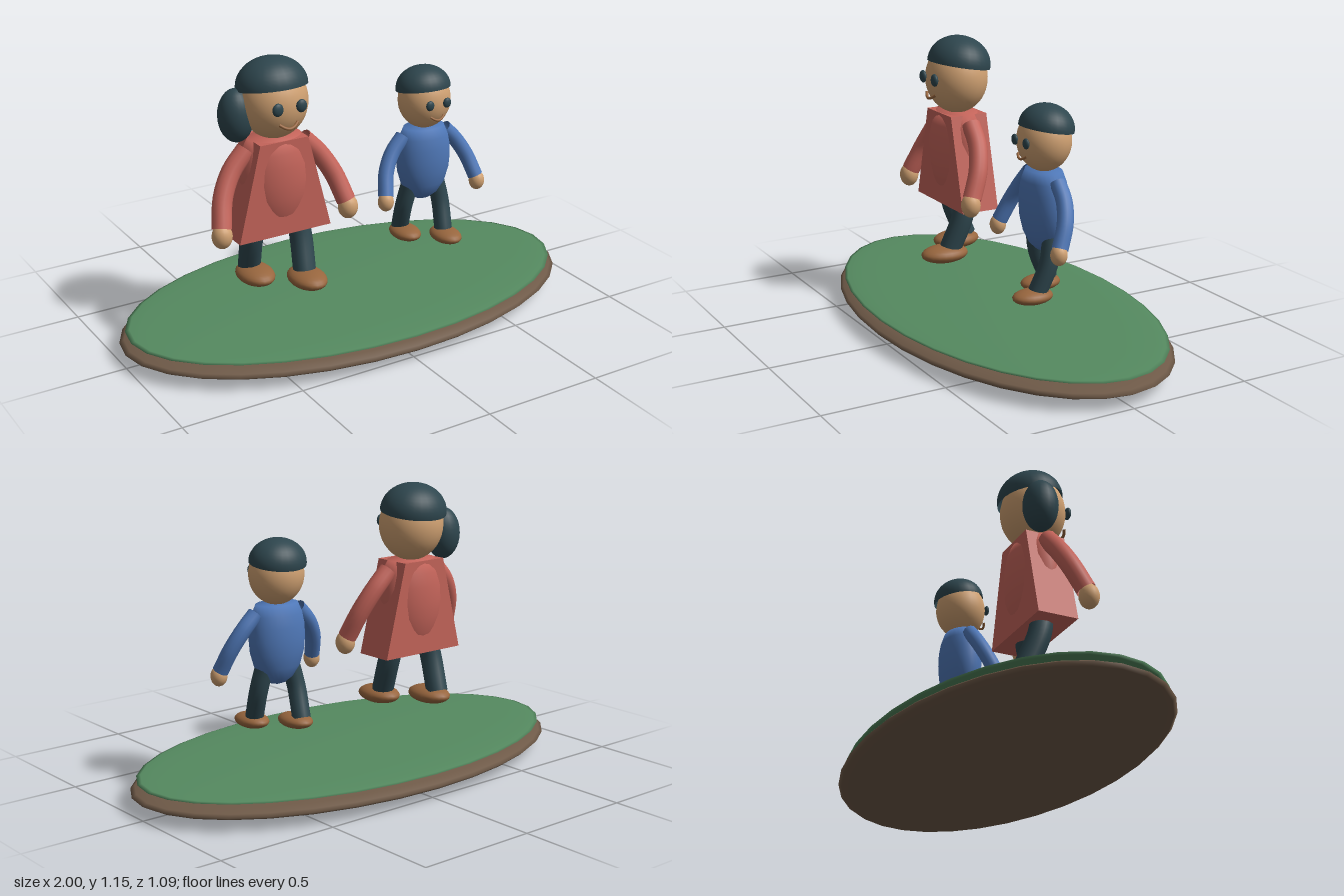
import * as THREE from 'three';

const mat = (name, color, side = THREE.FrontSide) => {
  const m = new THREE.MeshStandardMaterial({ color, side });
  m.name = name;
  return m;
};

export function createModel() {
  const model = new THREE.Group();
  const skin = mat('skin', 0xd0a172);
  const dark = mat('darkSlate', 0x2e464e, THREE.DoubleSide);
  const red = mat('red', 0xc4645a, THREE.DoubleSide);
  const blue = mat('blue', 0x4f78b8, THREE.DoubleSide);
  const shoeBrown = mat('shoeBrown', 0x98663e);
  const grass = mat('grass', 0x558a60);
  const earth = mat('earth', 0x6f5a48);

  const add = (parent, name, geometry, material, pos = [0, 0, 0]) => {
    const mesh = new THREE.Mesh(geometry, material);
    mesh.name = name;
    mesh.position.set(...pos);
    parent.add(mesh);
    return mesh;
  };
  const ellipsoid = (parent, name, material, pos, radii, w = 24, h = 16) =>
    add(parent, name, new THREE.SphereGeometry(1, w, h).scale(...radii), material, pos);
  const tube = (parent, name, material, pts, r) => add(parent, name,
    new THREE.TubeGeometry(new THREE.CatmullRomCurve3(pts.map(p => new THREE.Vector3(...p))), 16, r, 14),
    material);

  // Flattened ground mound with a grass layer
  ellipsoid(model, 'earthBase', earth, [0, 0.058, 0], [1, 0.056, 0.545], 32, 16);
  ellipsoid(model, 'grassTop', grass, [0, 0.104, 0], [0.975, 0.018, 0.525], 32, 16);

  function figure(name, shirt) {
    const g = new THREE.Group();
    g.name = name;

    // Head and face
    ellipsoid(g, 'head', skin, [0, 0.978, 0], [0.137, 0.148, 0.129], 28, 20);
    const cap = add(g, 'hair',
      new THREE.SphereGeometry(1, 28, 12, 0, Math.PI * 2, 0, Math.PI * 0.52).scale(0.144, 0.114, 0.129),
      dark, [0, 1.038, -0.012]);
    cap.rotation.x = -0.17;
    for (const s of [-1, 1])
      ellipsoid(g, 'eye', dark, [s * 0.051, 0.985, 0.129], [0.023, 0.026, 0.013], 16, 12);
    tube(g, 'mouth', shoeBrown,
      [[-0.04, 0.92, 0.118], [-0.02, 0.907, 0.128], [0, 0.902, 0.131], [0.02, 0.907, 0.128], [0.04, 0.92, 0.118]],
      0.006);

    // Egg-shaped torso with a flat shoulder line
    const profile = [[0, 0.435], [0.3, 0.447], [0.58, 0.475], [0.82, 0.53], [0.96, 0.6], [1, 0.665],
      [0.98, 0.73], [0.9, 0.785], [0.75, 0.836], [0, 0.838]];
    const torso = new THREE.LatheGeometry(profile.map(p => new THREE.Vector2(...p)), 28);
    add(g, 'torso', torso.scale(0.15, 1, 0.106), shirt);

    // Limbs: the left leg strides forward
    for (const s of [-1, 1]) {
      tube(g, 'arm', shirt,
        [[s * 0.125, 0.8, 0], [s * 0.195, 0.725, 0.008], [s * 0.247, 0.635, 0.035], [s * 0.277, 0.53, 0.08]], 0.039);
      ellipsoid(g, 'hand', skin, [s * 0.281, 0.505, 0.088], [0.041, 0.05, 0.04], 18, 14);
      tube(g, 'leg', dark,
        [[s * 0.075, 0.54, 0], [s * 0.096, 0.41, s * 0.025], [s * 0.083, 0.265, s * 0.08]], 0.046);
      ellipsoid(g, 'shoe', shoeBrown, [s * 0.08, 0.247, 0.035 + s * 0.07], [0.073, 0.037, 0.104], 22, 14);
    }
    model.add(g);
    return g;
  }

  // Taller figure with a flared dress and side ponytail
  const tall = figure('tallFigure', red);
  tall.position.set(-0.332, 0, 0);
  const skirt = new THREE.Shape(
    [[-0.203, 0.446], [0.203, 0.446], [0.105, 0.836], [-0.105, 0.836]].map(p => new THREE.Vector2(...p)));
  add(tall, 'dress', new THREE.ExtrudeGeometry(skirt, { depth: 0.166, bevelEnabled: false }), red, [0, 0, -0.083]);
  ellipsoid(tall, 'ponytail', dark, [-0.143, 0.932, -0.038], [0.073, 0.108, 0.07]);

  // Smaller figure
  const small = figure('smallFigure', blue);
  small.scale.setScalar(0.81);
  small.position.set(0.368, 0.066, 0);

  return model;
}
